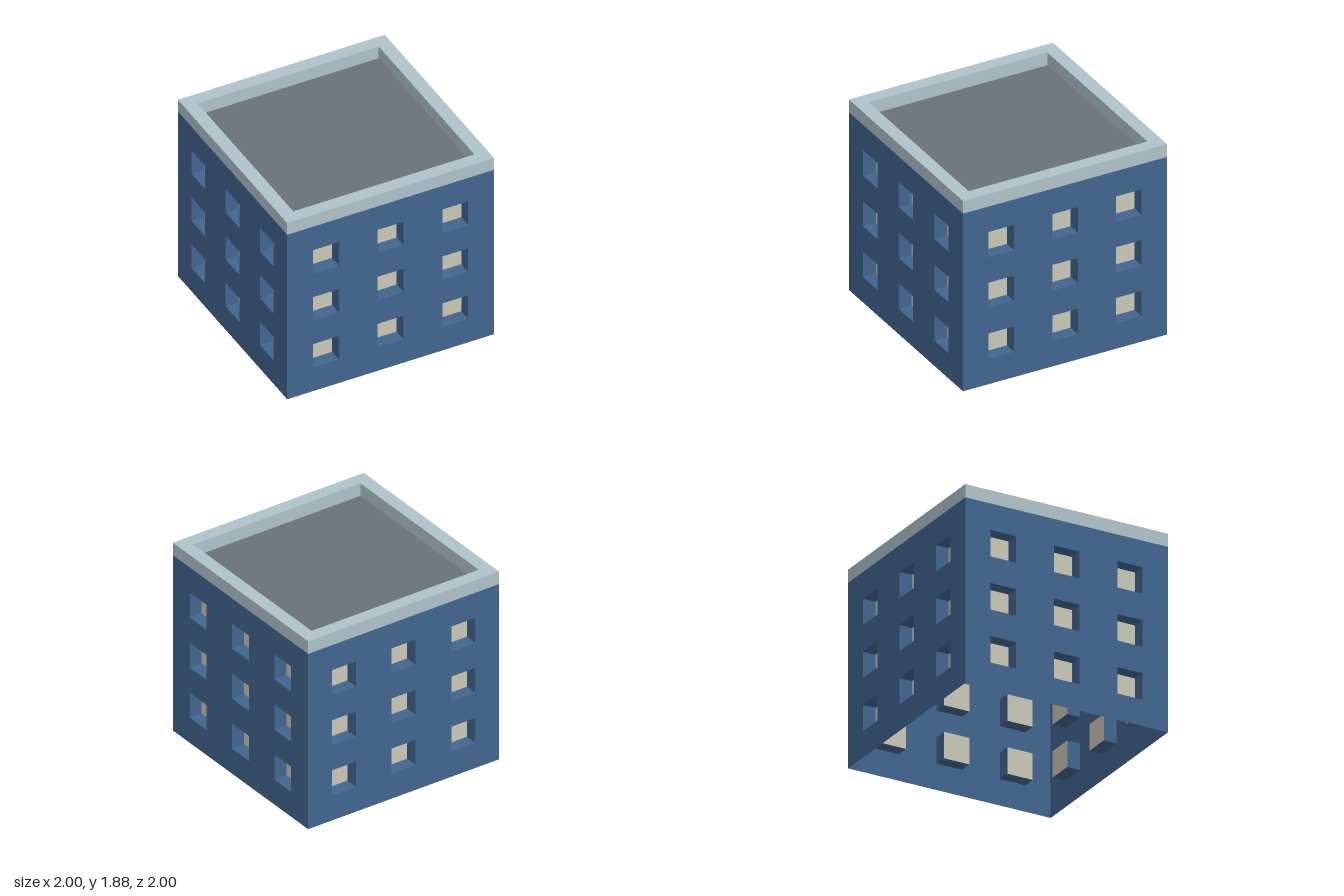
import * as THREE from 'three';

const WALL_TOP = 1.75, RIM_TOP = 1.875, HALF = 1, INNER = 0.875;
const WIN = 0.125, DEPTH = 0.125; // window half size and recess depth
const COLUMNS = [-0.625, 0, 0.625], ROWS = [0.375, 0.875, 1.375];

const material = (name, color) => {
  const m = new THREE.MeshStandardMaterial({ color, side: THREE.DoubleSide });
  m.name = name;
  return m;
};

const mesh = (name, geometry, mat, x = 0, y = 0, z = 0) => {
  const m = new THREE.Mesh(geometry, mat);
  m.name = name;
  m.position.set(x, y, z);
  return m;
};

// Open square sleeve with flat sides, standing along y
function sleeve(half, height) {
  const g = new THREE.CylinderGeometry(half * Math.SQRT2, half * Math.SQRT2, height, 4, 1, true)
    .rotateY(Math.PI / 4).toNonIndexed();
  g.computeVertexNormals();
  return g;
}

// Rectangle outline, used for shapes and holes
function rect(path, x0, y0, x1, y1) {
  return path.moveTo(x0, y0).lineTo(x1, y0).lineTo(x1, y1).lineTo(x0, y1).closePath();
}

export function createModel() {
  const blue = material('wallBlue', 0x41658f);
  const pale = material('rimPaleBlue', 0xafc2ca);
  const cream = material('windowCream', 0xcac7b6);
  const grey = material('roofGrey', 0x697178);

  const model = new THREE.Group();
  model.name = 'building';

  // Wall sheet with nine window openings
  const wallShape = rect(new THREE.Shape(), -HALF, 0, HALF, WALL_TOP);
  for (const x of COLUMNS) for (const y of ROWS) {
    wallShape.holes.push(rect(new THREE.Path(), x - WIN, y - WIN, x + WIN, y + WIN));
  }
  const wallGeometry = new THREE.ShapeGeometry(wallShape);
  const revealGeometry = sleeve(WIN, DEPTH).rotateX(Math.PI / 2);
  const paneGeometry = new THREE.PlaneGeometry(2 * WIN, 2 * WIN);

  // Four identical facades with recessed windows
  for (let i = 0; i < 4; i++) {
    const facade = new THREE.Group();
    facade.name = ['frontFacade', 'leftFacade', 'backFacade', 'rightFacade'][i];
    facade.add(mesh('wall', wallGeometry, blue, 0, 0, HALF));
    for (const x of COLUMNS) for (const y of ROWS) {
      facade.add(mesh('windowReveal', revealGeometry, blue, x, y, HALF - DEPTH / 2));
      facade.add(mesh('windowPane', paneGeometry, cream, x, y, HALF - DEPTH));
    }
    facade.rotation.y = i * Math.PI / 2;
    model.add(facade);
  }

  // Parapet rim around the sunken roof
  const rimHeight = RIM_TOP - WALL_TOP, rimY = (RIM_TOP + WALL_TOP) / 2;
  const rimShape = rect(new THREE.Shape(), -HALF, -HALF, HALF, HALF);
  rimShape.holes.push(rect(new THREE.Path(), -INNER, -INNER, INNER, INNER));
  model.add(mesh('rimOuter', sleeve(HALF, rimHeight), pale, 0, rimY));
  model.add(mesh('rimInner', sleeve(INNER, rimHeight), pale, 0, rimY));
  model.add(mesh('rimTop', new THREE.ShapeGeometry(rimShape).rotateX(-Math.PI / 2), pale, 0, RIM_TOP));

  // Flat roof; the underside of the building stays open
  model.add(mesh('roof', new THREE.PlaneGeometry(2 * INNER, 2 * INNER).rotateX(-Math.PI / 2), grey, 0, WALL_TOP));

  return model;
}
